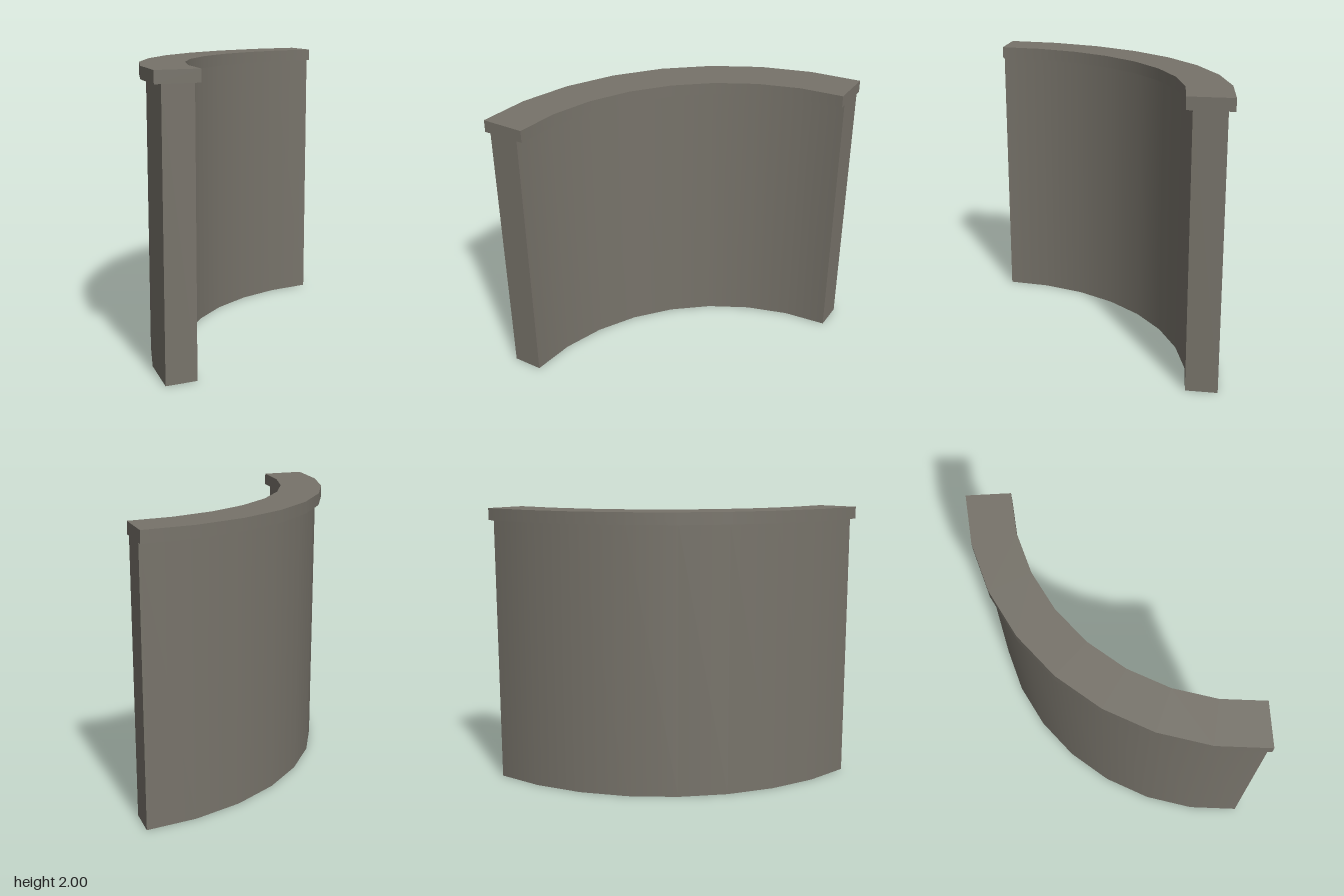
import * as THREE from 'three';

const STEPS = 8;
const CENTRE = 0.9325;

// Cross-section as [radius, height]: wall, coping with lips, open underneath
const profile = [
  [1.82, 0], [1.82, 1.915], [1.865, 1.915], [1.865, 2],
  [1.56, 2], [1.56, 1.915], [1.602, 1.915], [1.602, 0],
].map(([r, y]) => new THREE.Vector2(r, y));

const stripNames = [
  'outerWall', 'outerLip', 'copingOuterEdge', 'copingTop',
  'copingInnerEdge', 'innerLip', 'innerWall',
];

export function createModel() {
  const model = new THREE.Group();
  model.name = 'curvedWall';
  const stone = new THREE.MeshStandardMaterial({ color: 0x77736a, side: THREE.DoubleSide });
  stone.name = 'greyStone';

  function add(name, geometry) {
    const mesh = new THREE.Mesh(geometry, stone);
    mesh.name = name;
    mesh.position.set(CENTRE, 0, CENTRE);
    model.add(mesh);
    return mesh;
  }

  // Quarter-turn sweep, one strip per profile edge so the edges stay sharp
  stripNames.forEach((name, i) => {
    add(name, new THREE.LatheGeometry([profile[i], profile[i + 1]], STEPS, Math.PI, Math.PI / 2));
  });

  // Flat end faces
  const endFace = (side) => new THREE.ShapeGeometry(
    new THREE.Shape(profile.map((p) => new THREE.Vector2(side * p.x, p.y))));
  add('frontEnd', endFace(-1));
  add('leftEnd', endFace(1)).rotation.y = Math.PI / 2;

  return model;
}
